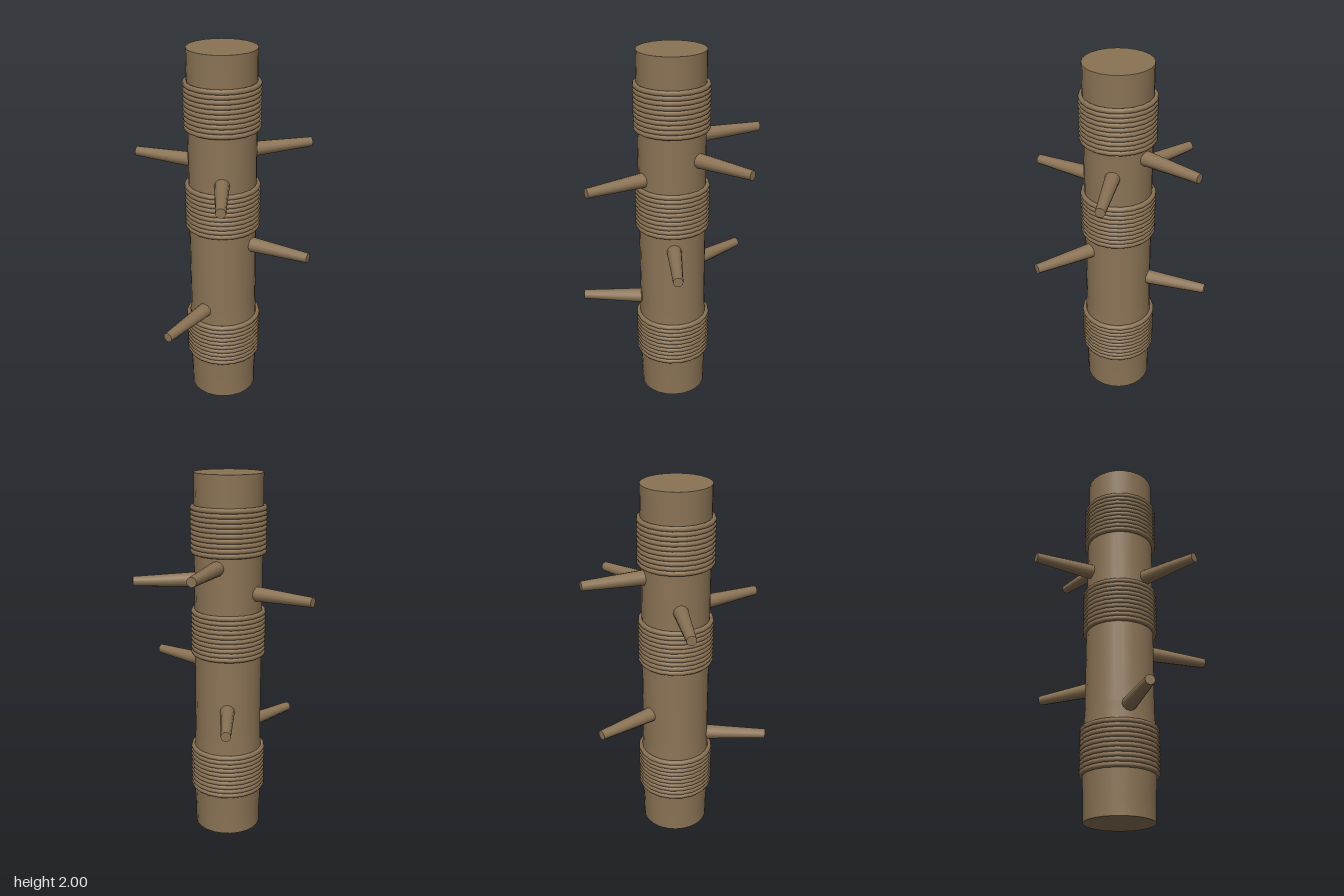
import * as THREE from 'three';
import { toCreasedNormals } from 'three/addons/utils/BufferGeometryUtils.js';

export function createModel() {
  const model = new THREE.Group();
  const wood = new THREE.MeshStandardMaterial({ color: 0x8b7355 });
  wood.name = 'brown wood';

  // Everything hangs on the trunk axis, which is offset by the pegs' reach
  const post = new THREE.Group();
  post.name = 'post';
  post.position.set(-0.05, 0, 0.007);
  model.add(post);

  function add(parent, name, geometry) {
    const mesh = new THREE.Mesh(geometry, wood);
    mesh.name = name;
    parent.add(mesh);
    return mesh;
  }

  // Trunk, swelling slightly under the lowest binding
  const profile = [
    [0, 0], [0.183, 0], [0.184, 0.1], [0.19, 0.22], [0.194, 0.36],
    [0.188, 0.49], [0.183, 0.58], [0.183, 2], [0, 2],
  ].map(([r, y]) => new THREE.Vector2(r, y));
  add(post, 'trunk', toCreasedNormals(new THREE.LatheGeometry(profile, 24), 0.6));

  // Rope bindings: stacked rings
  const ringCount = 10;
  const tube = 0.0145;
  for (const [name, bottom, radius] of [
    ['lowerBinding', 0.232, 0.195],
    ['middleBinding', 1.025, 0.19],
    ['upperBinding', 1.58, 0.19],
  ]) {
    const binding = new THREE.Group();
    binding.name = name;
    post.add(binding);
    const ring = new THREE.TorusGeometry(radius, tube, 8, 20);
    ring.rotateX(Math.PI / 2);
    for (let i = 0; i < ringCount; i++) {
      add(binding, 'ropeRing', ring).position.y = bottom + tube + i * 0.0252;
    }
  }

  // Tapered pegs pointing straight out: [height, tip x, tip z] from the axis
  const start = 0.14, end = 0.51;
  const peg = new THREE.CylinderGeometry(0.026, 0.042, end - start, 12);
  peg.translate(0, (start + end) / 2, 0);
  peg.rotateZ(-Math.PI / 2);
  for (const [y, x, z] of [
    [1.443, 0.51, -0.032],
    [1.527, 0.222, -0.46],
    [0.743, 0.06, -0.507],
    [1.38, -0.397, -0.32],
    [0.567, -0.392, 0.322],
    [1.327, -0.146, 0.485],
    [0.946, 0.36, 0.358],
  ]) {
    const mesh = add(post, 'peg', peg);
    mesh.position.y = y;
    mesh.rotation.y = Math.atan2(-z, x);
  }

  return model;
}
